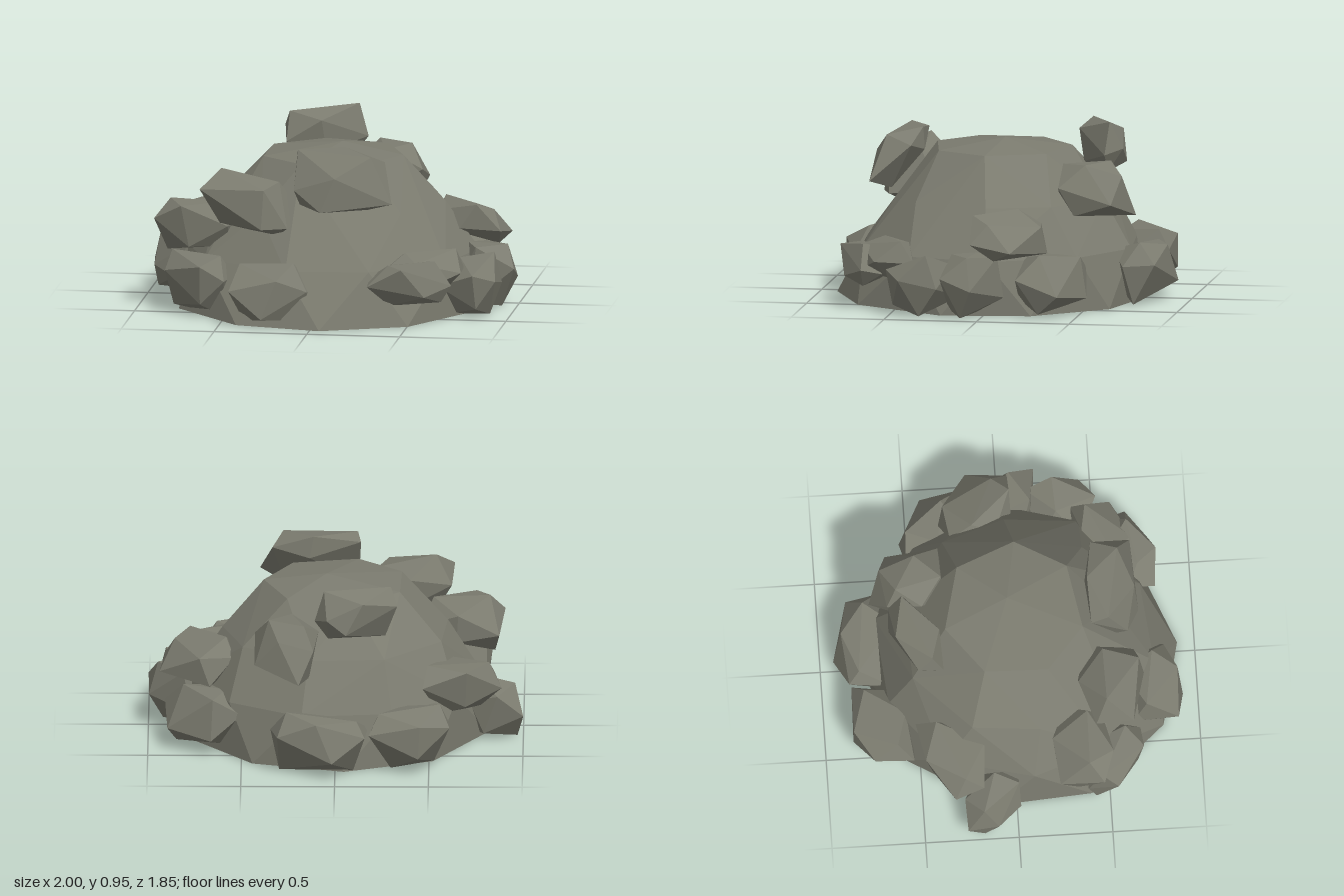
import * as THREE from 'three';
import { ConvexGeometry } from 'three/addons/geometries/ConvexGeometry.js';

const rock = new THREE.MeshStandardMaterial({ color: 0x7b7b6f, flatShading: true });
rock.name = 'greyRock';

// Small seeded random generator, returns -1..1
function seeded(seed) {
  let s = seed * 7919 + 17;
  return () => {
    s = (s * 16807) % 2147483647;
    return (s / 2147483647) * 2 - 1;
  };
}

// Mound: hull of stacked, slightly uneven rings under a low peak
function makeMound() {
  const rnd = seeded(5);
  const points = [new THREE.Vector3(0.05, 0.855, 0)];
  const ring = (y, rx, rz, cz, sides, turn) => {
    for (let i = 0; i < sides; i++) {
      const a = (i / sides) * Math.PI * 2 + turn + rnd() * 0.05;
      const k = 1 + rnd() * 0.015;
      points.push(new THREE.Vector3(Math.sin(a) * rx * k, y, cz + Math.cos(a) * rz * k));
    }
  };
  ring(0, 0.83, 0.84, 0.07, 10, 0.08);
  ring(0.29, 0.78, 0.75, 0.03, 10, 0.39);
  ring(0.55, 0.61, 0.57, 0, 9, 0.1);
  ring(0.8, 0.39, 0.38, 0.03, 7, 0.64);
  return new ConvexGeometry(points);
}

// Boulder: jittered twelve-point stone, sheared, made blocky and scaled to its size
function makeBoulder(centre, size, [xz, xy = 0, zy = 0], seed) {
  const rnd = seeded(seed);
  const g = (1 + Math.sqrt(5)) / 2;
  const points = [];
  for (const a of [-1, 1]) {
    for (const b of [-g, g]) {
      points.push(new THREE.Vector3(a, b, 0), new THREE.Vector3(0, a, b), new THREE.Vector3(b, 0, a));
    }
  }
  for (const p of points) {
    p.x += rnd() * 0.4;
    p.y += rnd() * 0.4;
    p.z += rnd() * 0.4;
    p.set(p.x, p.y + xy * p.x + zy * p.z, p.z + xz * p.x);
  }
  const box = new THREE.Box3().setFromPoints(points);
  const middle = box.getCenter(new THREE.Vector3());
  const half = box.getSize(new THREE.Vector3()).multiplyScalar(0.5);
  const blocky = (c) => Math.sign(c) * Math.abs(c) ** 0.75 * 0.5;
  for (const p of points) {
    p.sub(middle).divide(half);
    p.set(blocky(p.x) * size[0], blocky(p.y) * size[1], blocky(p.z) * size[2]);
  }
  return new ConvexGeometry(points).translate(...centre);
}

// Boulders around the foot share one height: x, z, width, depth, slant
const footBoulders = {
  rightSideBoulder: [-0.845, -0.13, 0.31, 0.3, 0.5],
  frontRightLowBoulder: [-0.645, 0.525, 0.37, 0.33, 0.5],
  frontLowBoulder: [-0.22, 0.765, 0.44, 0.31, 0],
  leftFrontBoulder: [0.78, 0.325, 0.32, 0.39, 0],
  leftSideBoulder: [0.84, 0.045, 0.32, 0.31, 0.3],
  leftBackBoulder: [0.705, -0.36, 0.41, 0.36, 0.2],
  backLowBoulder: [0.085, -0.765, 0.52, 0.33, 0],
  backRightLowBoulder: [-0.395, -0.69, 0.43, 0.32, -0.5],
};

// Boulders higher up: centre, size, slants
const upperBoulders = {
  frontRightMidBoulder: [[-0.675, 0.455, 0.36], [0.45, 0.29, 0.32], [0.2, 0.1]],
  frontRightHighBoulder: [[-0.37, 0.615, 0.53], [0.52, 0.35, 0.36], [0, -0.4]],
  frontHighBoulder: [[0.14, 0.755, 0.56], [0.54, 0.31, 0.28], [0.1, -0.1, -0.6]],
  backCrestBoulder: [[-0.11, 0.805, -0.5], [0.44, 0.29, 0.28], [-0.6]],
  backHighBoulder: [[0.26, 0.615, -0.525], [0.34, 0.29, 0.41], [0.2, 0, 0.3]],
  frontLeftUpperBoulder: [[0.575, 0.28, 0.545], [0.39, 0.2, 0.33], [-0.5]],
  frontLeftLowBoulder: [[0.51, 0.23, 0.69], [0.44, 0.24, 0.26], [-0.4]],
  leftMidBoulder: [[0.74, 0.43, -0.135], [0.4, 0.24, 0.39], [0.5, -0.4, 0.4]],
  backRightMidBoulder: [[-0.675, 0.34, -0.34], [0.42, 0.28, 0.36], [-0.5, 0.1]],
};

export function createModel() {
  const group = new THREE.Group();
  group.name = 'rockMound';
  const add = (name, geometry) => {
    const mesh = new THREE.Mesh(geometry, rock);
    mesh.name = name;
    group.add(mesh);
  };
  add('mound', makeMound());
  Object.entries(footBoulders).forEach(([name, [x, z, width, depth, slant]], i) =>
    add(name, makeBoulder([x, 0.17, z], [width, 0.33, depth], [slant], i + 3)));
  Object.entries(upperBoulders).forEach(([name, [centre, size, slants]], i) =>
    add(name, makeBoulder(centre, size, slants, i + 20)));
  return group;
}
